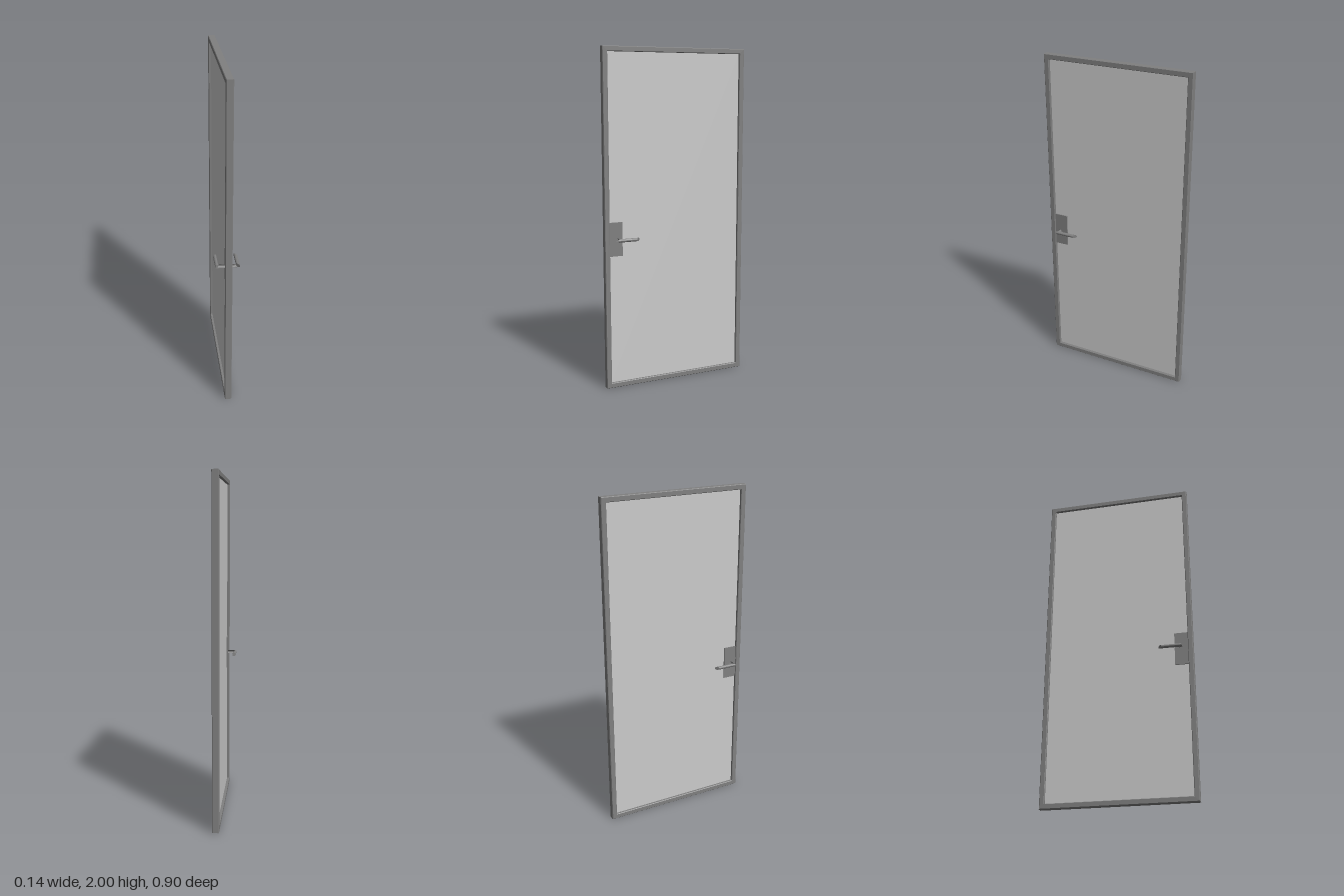
import * as THREE from 'three';
import { toCreasedNormals } from 'three/addons/utils/BufferGeometryUtils.js';

const HEIGHT = 2, WIDTH = 0.9, THICK = 0.04, BORDER = 0.03;
const HANDLE_Y = 0.9, HANDLE_Z = 0.378, REACH = 0.06, RADIUS = 0.01, GRIP_END = 0.26;

function rectPath(path, x0, y0, x1, y1) {
  path.moveTo(x0, y0);
  path.lineTo(x1, y0);
  path.lineTo(x1, y1);
  path.lineTo(x0, y1);
  path.closePath();
  return path;
}

// Round bar whose vertices are moved by a rule so the ends are mitred
function mitredBar(rule) {
  const geo = new THREE.CylinderGeometry(RADIUS, RADIUS, 2, 20);
  const p = geo.attributes.position;
  for (let i = 0; i < p.count; i++) {
    const [x, y, z] = rule(p.getX(i), p.getY(i), p.getZ(i));
    p.setXYZ(i, x, y, z);
  }
  return toCreasedNormals(geo, 0.6);
}

export function createModel() {
  const door = new THREE.Group();
  door.name = 'door';

  const metal = new THREE.MeshStandardMaterial({ color: 0x808080 });
  metal.name = 'grey metal';
  const pane = new THREE.MeshStandardMaterial({ color: 0xcccccc });
  pane.name = 'light grey panel';

  const add = (name, geo, mat, parent = door) => {
    const mesh = new THREE.Mesh(geo, mat);
    mesh.name = name;
    parent.add(mesh);
    return mesh;
  };

  // Frame: bevelled rectangle with an opening
  const bevel = 0.003, w = WIDTH / 2;
  const outline = rectPath(new THREE.Shape(), -w, 0, w, HEIGHT);
  outline.holes.push(rectPath(new THREE.Path(), -w + BORDER, BORDER, w - BORDER, HEIGHT - BORDER));
  const frame = new THREE.ExtrudeGeometry(outline, {
    depth: THICK - 2 * bevel, bevelEnabled: true, bevelSize: bevel,
    bevelThickness: bevel, bevelOffset: -bevel, bevelSegments: 1,
  });
  frame.translate(0, 0, -THICK / 2 + bevel).rotateY(Math.PI / 2);
  add('frame', frame, metal);

  // Recessed panel
  const panel = add('panel',
    new THREE.BoxGeometry(0.01, HEIGHT - 2 * BORDER, WIDTH - 2 * BORDER), pane);
  panel.position.y = HEIGHT / 2;

  // Lock plate showing on both faces
  const plate = add('lockPlate', new THREE.BoxGeometry(0.024, 0.2, 0.08), metal);
  plate.position.set(0, HANDLE_Y, 0.38);

  // Lever handles on one shared spindle
  const handle = new THREE.Group();
  handle.name = 'handle';
  handle.position.set(0, HANDLE_Y, 0);
  door.add(handle);

  // Local y of the bar runs along x; each end is cut at 45 degrees
  add('spindle', mitredBar((x, y, z) =>
    [Math.sign(y) * (REACH + z), x, HANDLE_Z + z]), metal, handle);

  // Local y runs along z; both ends follow the same 45 degree cut
  for (const side of [1, -1]) {
    add(side > 0 ? 'leftGrip' : 'rightGrip', mitredBar((x, y, z) =>
      [side * REACH + x, z, (y > 0 ? GRIP_END : HANDLE_Z) + side * x]), metal, handle)
      .geometry.name = 'grip';
  }
  // Check of winding: bar y maps to -z, x to x, z to y, a pure rotation
  return door;
}
